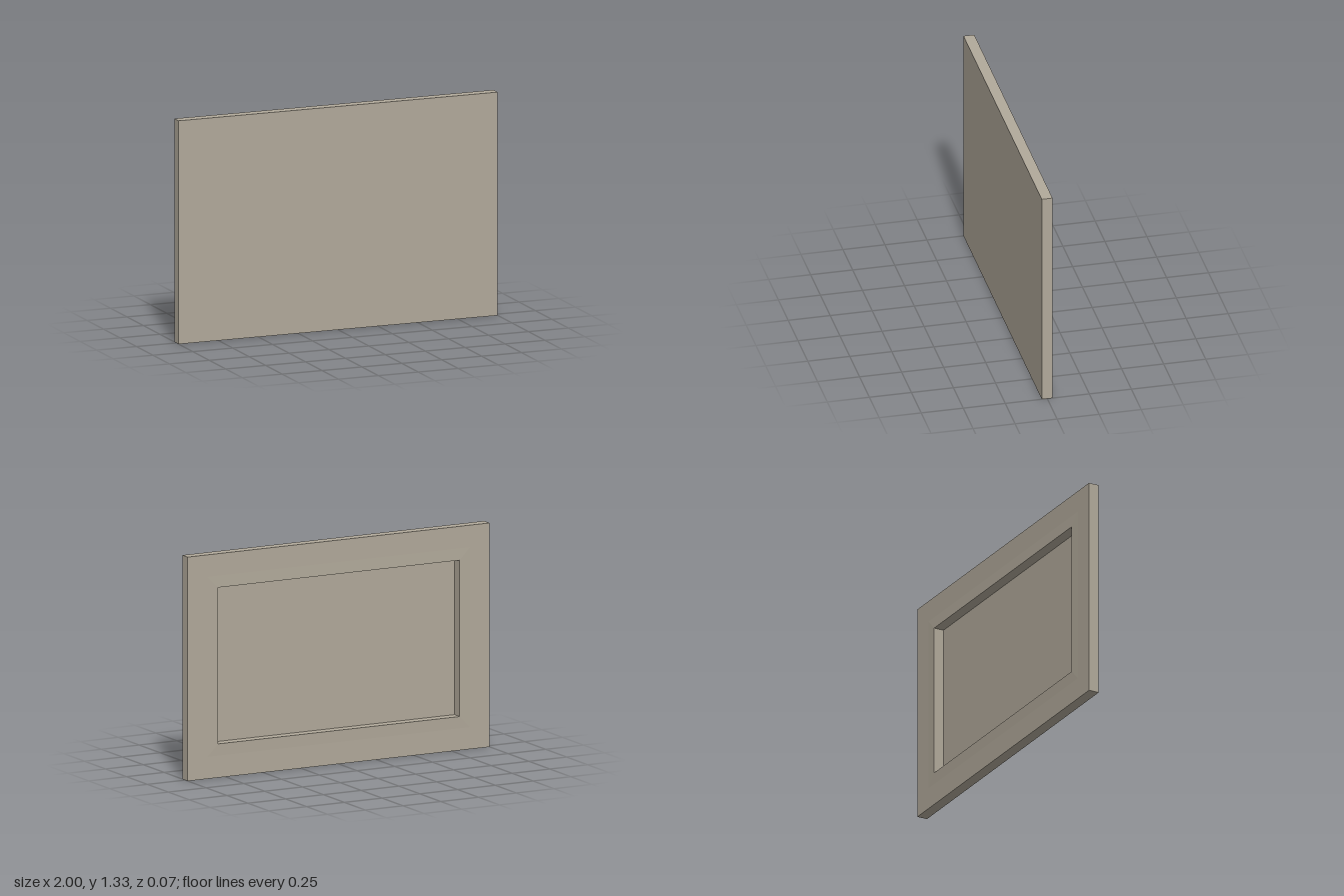
import * as THREE from 'three';

const WIDTH = 2, HEIGHT = 1.325;

// Corners of a rectangle inset from the panel outline, at depth z
function rectLoop(inset, z) {
  const x = WIDTH / 2 - inset, y0 = inset, y1 = HEIGHT - inset;
  return [[-x, y0, z], [x, y0, z], [x, y1, z], [-x, y1, z]];
}

// Joins consecutive rectangular loops; optionally fills the last one, facing the back
function loft(loops, capEnd) {
  const pos = [];
  const quad = (a, b, c, d) => pos.push(...a, ...b, ...c, ...a, ...c, ...d);
  for (let i = 0; i + 1 < loops.length; i++) {
    const p = loops[i], q = loops[i + 1];
    for (let k = 0; k < 4; k++) {
      const n = (k + 1) % 4;
      quad(p[k], q[k], q[n], p[n]);
    }
  }
  if (capEnd) {
    const e = loops[loops.length - 1];
    quad(e[0], e[3], e[2], e[1]);
  }
  const geo = new THREE.BufferGeometry();
  geo.setAttribute('position', new THREE.Float32BufferAttribute(pos, 3));
  geo.computeVertexNormals();
  return geo;
}

export function createModel() {
  const group = new THREE.Group();
  const stone = new THREE.MeshStandardMaterial({ color: 0xb1a99a });
  stone.name = 'warm grey';
  const add = (name, geo) => {
    const mesh = new THREE.Mesh(geo, stone);
    mesh.name = name;
    group.add(mesh);
    return mesh;
  };

  const front = 0.033, back = -0.031, lip = -0.033, floor = 0.029;

  // Plain front face
  add('frontFace', new THREE.PlaneGeometry(WIDTH, HEIGHT)).position.set(0, HEIGHT / 2, front);

  // Outer edges and flat back border
  add('frame', loft([rectLoop(0, front), rectLoop(0, back), rectLoop(0.13, back)], false));

  // Shallow lip rising towards the opening
  add('backLip', loft([rectLoop(0.13, back), rectLoop(0.2, lip)], false));

  // Deep recess with its floor
  add('backRecess', loft([rectLoop(0.2, lip), rectLoop(0.2, floor)], true));

  return group;
}
